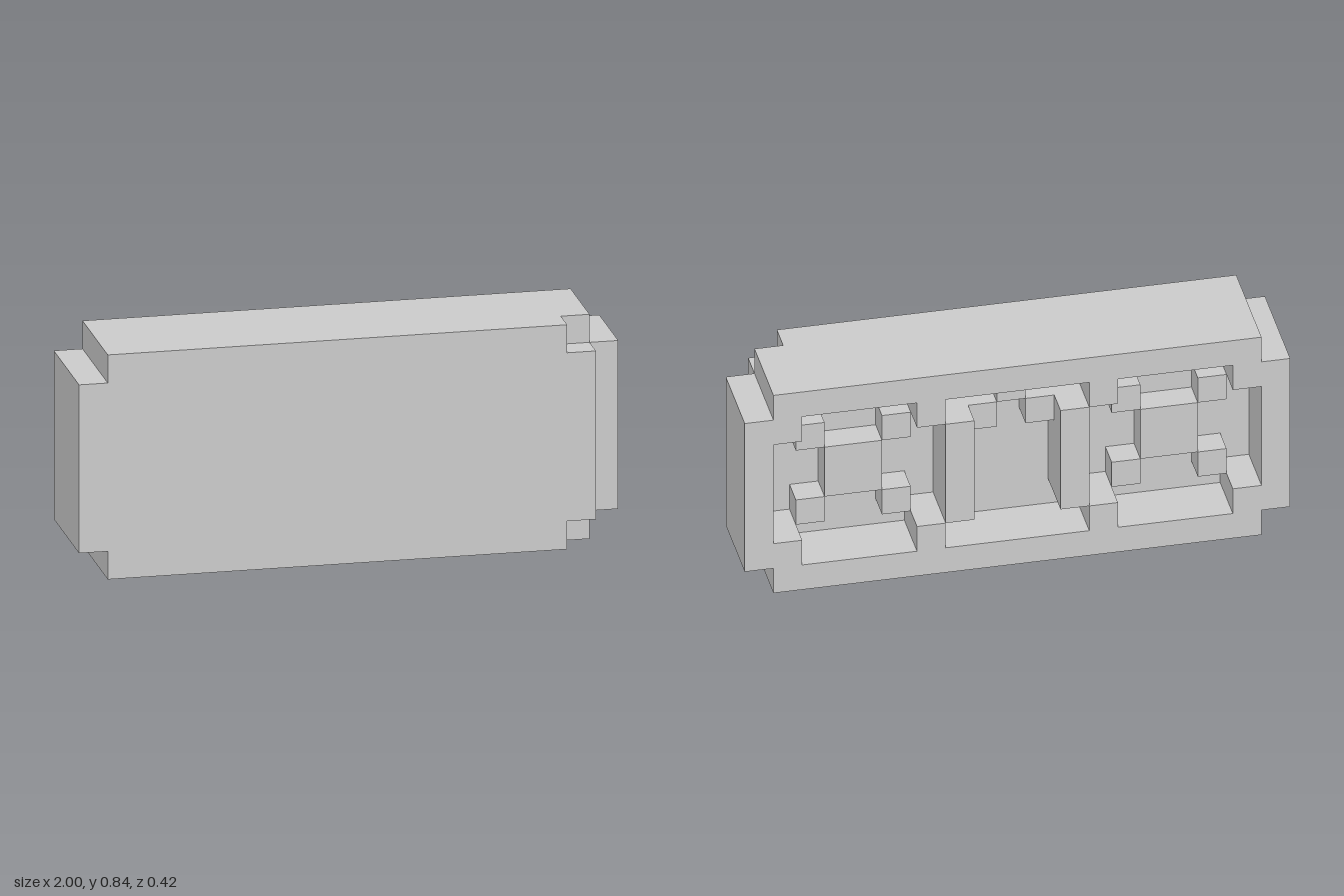
import * as THREE from 'three';

// The block is laid out on a grid of 19 x 8 x 4 cells
const CELL = 2 / 19;
const material = new THREE.MeshStandardMaterial({ color: 0xcccccc, flatShading: true });

export function createModel() {
  const model = new THREE.Group();
  model.name = 'hollowBlock';

  const add = (name, geometry, parent = model) => {
    const mesh = new THREE.Mesh(geometry.scale(CELL, CELL, CELL), material);
    mesh.name = name;
    parent.add(mesh);
  };
  const box = (name, x, y, z, w, h, d, parent) =>
    add(name, new THREE.BoxGeometry(w, h, d).translate(x, y, z), parent);

  // Rectangle, 8 cells high, with one cell cut from each corner
  const notched = (x0, x1) => new THREE.Shape([
    [x0 + 1, 0], [x1 - 1, 0], [x1 - 1, 1], [x1, 1], [x1, 7], [x1 - 1, 7],
    [x1 - 1, 8], [x0 + 1, 8], [x0 + 1, 7], [x0, 7], [x0, 1], [x0 + 1, 1],
  ].map(([x, y]) => new THREE.Vector2(x, y)));
  const slab = (name, shape, z, depth) =>
    add(name, new THREE.ExtrudeGeometry(shape, { depth, bevelEnabled: false }).translate(0, 0, z));

  // Front plate, shifted one cell short of the left end
  slab('frontPlate', notched(-9.5, 8.5), 1, 1);
  slab('innerWall', notched(-9.5, 9.5), 0, 1);

  // Back rim: one long opening with three taller bays
  const rim = notched(-9.5, 9.5);
  const edge = [[-8.5, 2]];
  for (const [a, b] of [[-7.5, -3.5], [-2.5, 2.5], [3.5, 7.5]])
    edge.push([a, 2], [a, 1], [b, 1], [b, 2]);
  edge.push([8.5, 2]);
  const opening = [...edge, ...edge.map(([x, y]) => [x, 8 - y]).reverse()];
  rim.holes.push(new THREE.Path(opening.map(([x, y]) => new THREE.Vector2(x, y))));
  slab('backRim', rim, -2, 2);

  for (const side of [-1, 1]) {
    // Upright pillar beside the middle bay
    box('pillar', side * 2, 4, -1, 1, 4, 2);

    // Cross-shaped relief in the outer bay
    const relief = new THREE.Group();
    relief.name = 'crossRelief';
    model.add(relief);
    box('reliefCentre', side * 5.5, 4, -0.5, 2, 2, 1, relief);
    for (const dx of [-1.5, 1.5])
      for (const dy of [-1.5, 1.5])
        box('reliefCorner', side * 5.5 + dx, 4 + dy, -0.5, 1, 1, 1, relief);

    // Lower blocks of the small arch
    box('archSide', side, 5.5, -0.5, 1, 1, 1);
  }
  box('archTop', 0, 6.5, -0.5, 1, 1, 1);

  return model;
}
